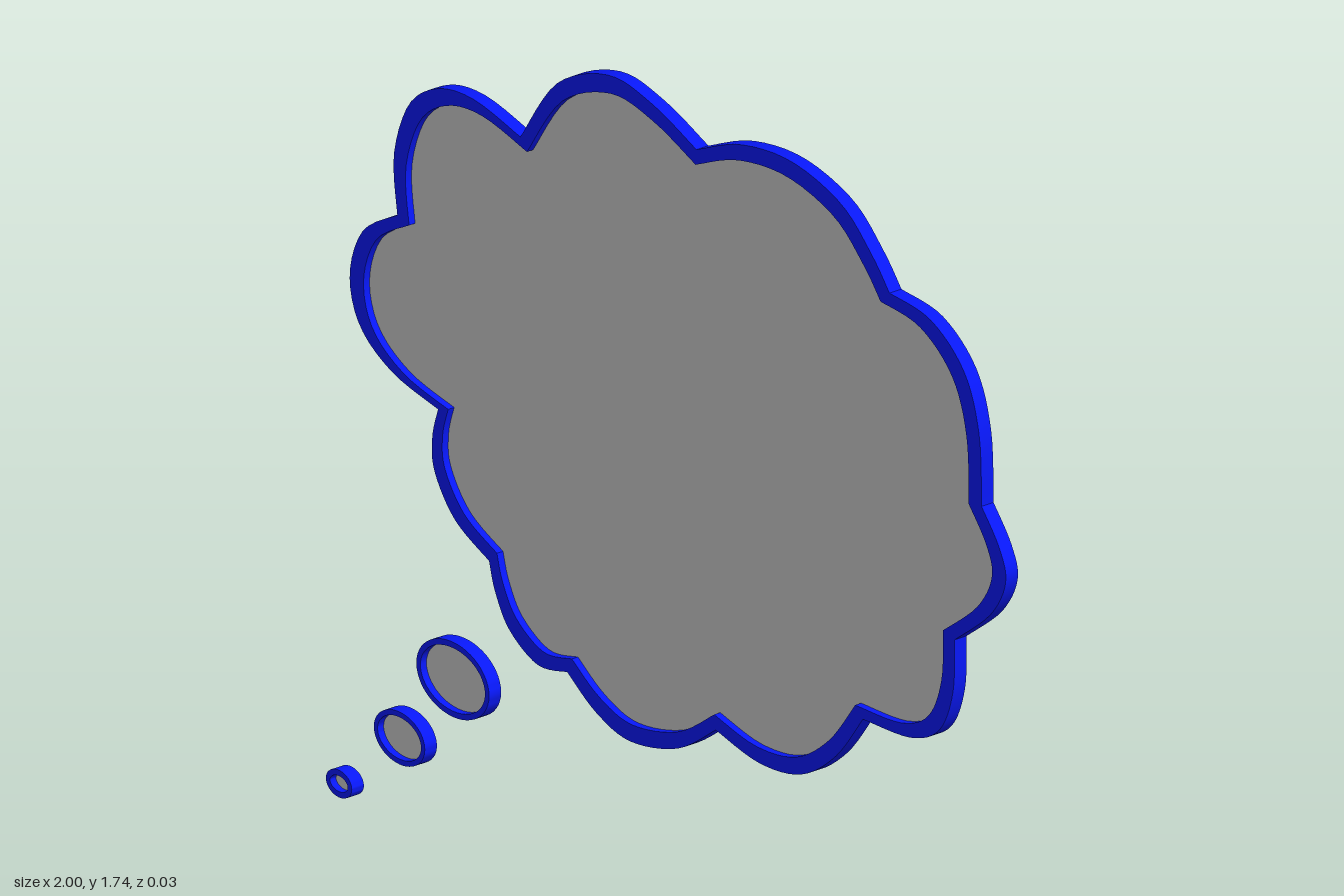
import * as THREE from 'three';
import { toCreasedNormals } from 'three/addons/utils/BufferGeometryUtils.js';

const DEPTH = 0.03;
const blue = new THREE.MeshStandardMaterial({ color: 0x0818fa });
const grey = new THREE.MeshStandardMaterial({ color: 0xcccccc, side: THREE.DoubleSide });

// Lobes of the cloud, clockwise: each starts at a cusp and bulges to the next one
const LOBES = [
  [[-0.428, 1.53], [-0.32, 1.675], [-0.17, 1.74], [-0.04, 1.722]],
  [[0.09, 1.67], [0.22, 1.722], [0.37, 1.735], [0.515, 1.695], [0.605, 1.62]],
  [[0.658, 1.557], [0.78, 1.54], [0.878, 1.465], [0.922, 1.35]],
  [[0.929, 1.205], [0.982, 1.135], [1.0, 1.07], [0.955, 0.99]],
  [[0.85, 0.905], [0.845, 0.795], [0.805, 0.705], [0.72, 0.662]],
  [[0.58, 0.655], [0.5, 0.553], [0.398, 0.483], [0.275, 0.467]],
  [[0.147, 0.494], [0.035, 0.42], [-0.104, 0.39], [-0.205, 0.417]],
  [[-0.29, 0.473], [-0.377, 0.46], [-0.46, 0.505], [-0.502, 0.57]],
  [[-0.52, 0.628], [-0.62, 0.68], [-0.68, 0.76], [-0.687, 0.83]],
  [[-0.67, 0.892], [-0.805, 0.925], [-0.9, 0.99], [-0.93, 1.087], [-0.89, 1.19]],
  [[-0.79, 1.253], [-0.8, 1.375], [-0.755, 1.493], [-0.67, 1.552], [-0.563, 1.563]],
];

// Cloud outline sampled lobe by lobe, so the cusps stay sharp; turned anticlockwise
function cloudOutline() {
  return LOBES.flatMap((lobe, i) => {
    const next = LOBES[(i + 1) % LOBES.length][0];
    const pts = [...lobe, next].map(([x, y]) => new THREE.Vector2(x, y));
    return new THREE.SplineCurve(pts).getPoints(24).slice(0, -1);
  }).reverse();
}

function ellipseOutline(x, y, rx, ry) {
  return new THREE.EllipseCurve(x, y, rx, ry).getPoints(48).slice(0, -1);
}

// Raised rim with a thin panel set in its middle plane
function framedPanel(name, outer, inner) {
  const group = new THREE.Group();
  group.name = name;
  const ring = new THREE.Shape(outer);
  ring.holes.push(new THREE.Path(inner));
  const rimGeometry = new THREE.ExtrudeGeometry(ring, { depth: DEPTH, bevelEnabled: false });
  rimGeometry.translate(0, 0, -DEPTH / 2);
  const rim = new THREE.Mesh(toCreasedNormals(rimGeometry, 0.5), blue);
  rim.name = name + 'Rim';
  const panel = new THREE.Mesh(new THREE.ShapeGeometry(new THREE.Shape(inner)), grey);
  panel.name = name + 'Panel';
  group.add(rim, panel);
  return group;
}

export function createModel() {
  const model = new THREE.Group();
  model.name = 'thoughtBubble';

  // Main cloud: the opening is the outline shrunk about its centre
  const outer = cloudOutline();
  const [cx, cy] = [0.035, 1.067];
  const inner = outer.map(p => new THREE.Vector2(cx + (p.x - cx) * 0.958, cy + (p.y - cy) * 0.947));
  model.add(framedPanel('cloud', outer, inner));

  // Trail of shrinking bubbles: x, y, radii, rim width
  const bubbles = [
    ['largeBubble', -0.627, 0.35, 0.107, 0.077, 0.012],
    ['mediumBubble', -0.784, 0.179, 0.075, 0.054, 0.011],
    ['smallBubble', -0.962, 0.028, 0.038, 0.028, 0.012],
  ];
  for (const [name, x, y, rx, ry, w] of bubbles) {
    model.add(framedPanel(name, ellipseOutline(x, y, rx, ry), ellipseOutline(x, y, rx - w, ry - w)));
  }
  return model;
}
